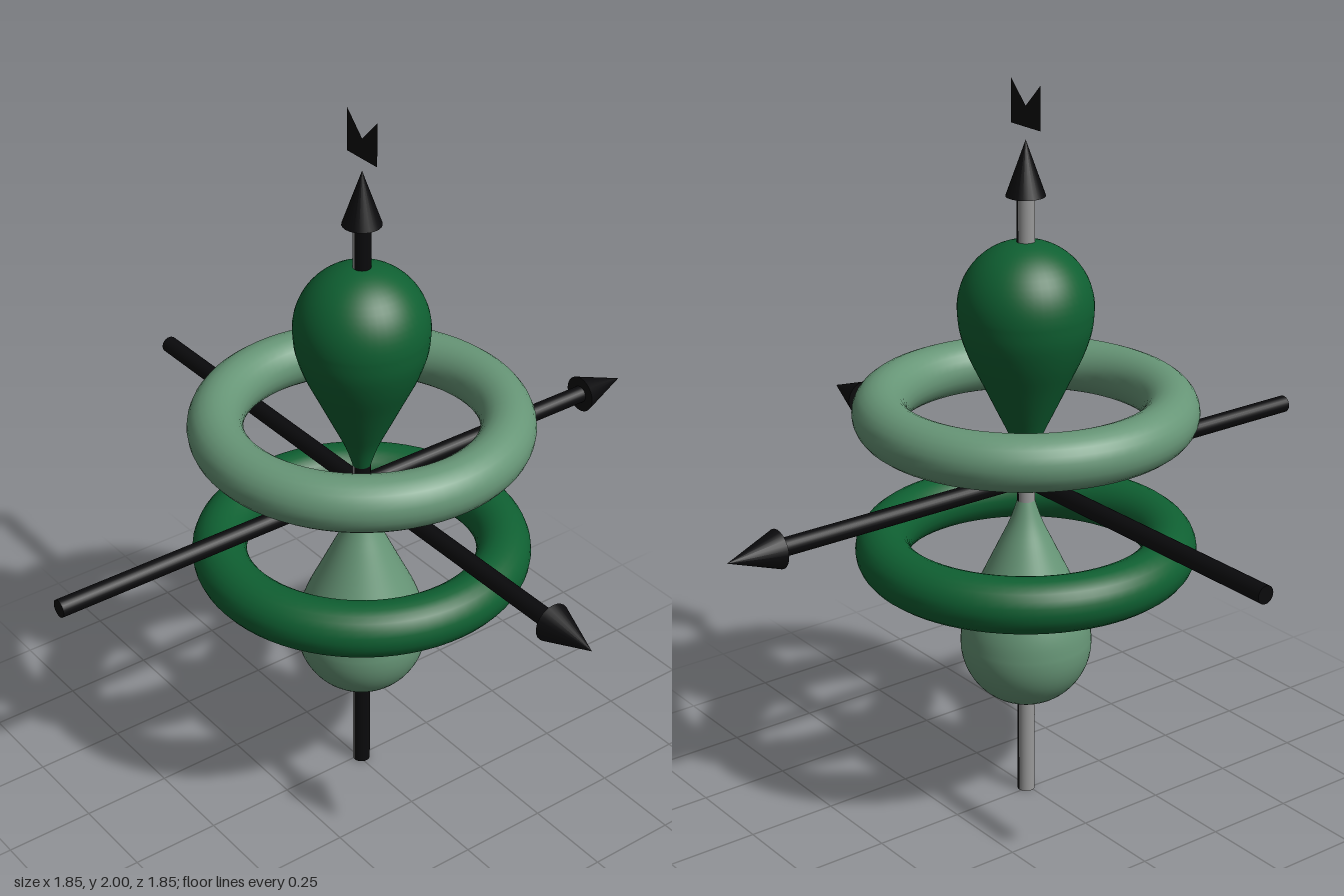
import * as THREE from 'three';

const mat = (name, color, side = THREE.FrontSide) => {
  const m = new THREE.MeshStandardMaterial({ color, side });
  m.name = name;
  return m;
};

export function createModel() {
  const black = mat('black', 0x0a0a0c, THREE.DoubleSide);
  const grey = mat('grey', 0x999999);
  const darkGreen = mat('darkGreen', 0x0f6032);
  const paleGreen = mat('paleGreen', 0x679677);

  const model = new THREE.Group();
  model.name = 'orbitalModel';
  const centre = new THREE.Group();
  centre.name = 'centre';
  centre.position.set(0.007, 0.934, -0.007);
  model.add(centre);

  const add = (parent, name, geometry, material, y = 0) => {
    const mesh = new THREE.Mesh(geometry, material);
    mesh.name = name;
    mesh.position.y = y;
    parent.add(mesh);
    return mesh;
  };

  // Axis arrows; the upright shaft is half grey, half black
  const START = -0.934, NECK = 0.772, TIP = 0.918, SHAFT_R = 0.024;
  const shaft = (start, sweep) =>
    new THREE.CylinderGeometry(SHAFT_R, SHAFT_R, NECK - START, 24, 1, false, start, sweep);
  const makeArrow = (name, twoTone) => {
    const arrow = new THREE.Group();
    arrow.name = name;
    const mid = (START + NECK) / 2;
    if (twoTone) {
      add(arrow, 'shaftDarkHalf', shaft(0, Math.PI), black, mid);
      add(arrow, 'shaftGreyHalf', shaft(Math.PI, Math.PI), grey, mid);
    } else {
      add(arrow, 'shaft', shaft(0, Math.PI * 2), black, mid);
    }
    add(arrow, 'arrowHead', new THREE.ConeGeometry(0.052, TIP - NECK, 24), black, (NECK + TIP) / 2);
    centre.add(arrow);
    return arrow;
  };
  makeArrow('uprightAxis', true);
  makeArrow('sideAxis', false).rotation.z = -Math.PI / 2;
  makeArrow('depthAxis', false).rotation.x = -Math.PI / 2;

  // Teardrop lobe: a curved neck running into a round cap
  const neck = new THREE.SplineCurve([
    [0.004, 0], [0.02, 0.05], [0.043, 0.12], [0.076, 0.19],
    [0.112, 0.265], [0.15, 0.345], [0.173, 0.415], [0.179, 0.475],
  ].map(([r, y]) => new THREE.Vector2(r, y)));
  const profile = neck.getPoints(28);
  for (let i = 1; i <= 14; i++) {
    const a = (i / 14) * Math.PI / 2;
    profile.push(new THREE.Vector2(Math.max(0, 0.179 * Math.cos(a)), 0.475 + 0.179 * Math.sin(a)));
  }
  const lobe = new THREE.LatheGeometry(profile, 48);
  add(centre, 'upperLobe', lobe, darkGreen);
  add(centre, 'lowerLobe', lobe, paleGreen).rotation.x = Math.PI;

  // Rings above and below the centre
  const ring = new THREE.TorusGeometry(0.384, 0.074, 24, 72).rotateX(Math.PI / 2);
  add(centre, 'upperRing', ring, paleGreen, 0.194);
  add(centre, 'lowerRing', ring, darkGreen, -0.194);

  // Flat notched marker above the upright arrow
  const plate = new THREE.Shape([
    [-0.061, 1.884], [0.061, 1.884], [0.061, 2], [0, 1.938], [-0.061, 2],
  ].map(([x, y]) => new THREE.Vector2(x, y)));
  const marker = add(model, 'notchedMarker', new THREE.ShapeGeometry(plate), black);
  marker.position.set(0.007, 0, -0.007);

  return model;
}
